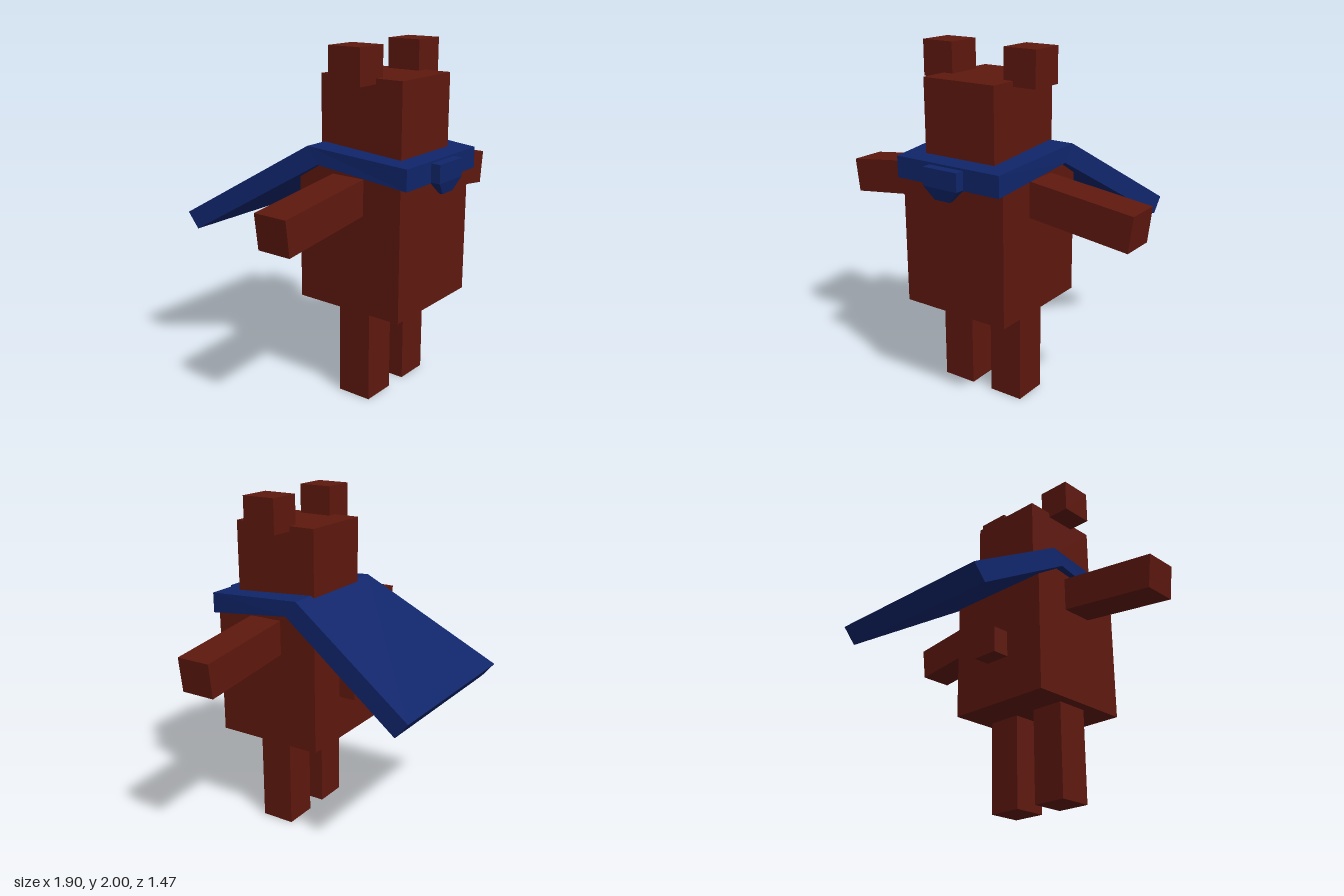
import * as THREE from 'three';

const fur = new THREE.MeshStandardMaterial({ color: 0x5e180e, flatShading: true });
const cloth = new THREE.MeshStandardMaterial({ color: 0x10256a, flatShading: true });

// Box given by its min and max on each axis
function box(name, [x0, x1], [y0, y1], [z0, z1]) {
  const mesh = new THREE.Mesh(new THREE.BoxGeometry(x1 - x0, y1 - y0, z1 - z0), fur);
  mesh.position.set((x0 + x1) / 2, (y0 + y1) / 2, (z0 + z1) / 2);
  mesh.name = name;
  return mesh;
}

// Solid through four-cornered sections; corners run clockwise seen from the first end
function loft(name, sections) {
  const index = [];
  const quad = (a, b, c, d) => index.push(a, b, c, a, c, d);
  quad(3, 2, 1, 0);
  for (let i = 0; i < sections.length - 1; i++) {
    for (let k = 0; k < 4; k++) {
      const n = (k + 1) % 4;
      quad(i * 4 + k, i * 4 + n, i * 4 + 4 + n, i * 4 + 4 + k);
    }
  }
  const e = (sections.length - 1) * 4;
  quad(e, e + 1, e + 2, e + 3);
  const indexed = new THREE.BufferGeometry();
  indexed.setAttribute('position', new THREE.Float32BufferAttribute(sections.flat(2), 3));
  indexed.setIndex(index);
  const geometry = indexed.toNonIndexed();
  geometry.computeVertexNormals();
  const mesh = new THREE.Mesh(geometry, cloth);
  mesh.name = name;
  return mesh;
}

export function createModel() {
  const model = new THREE.Group();
  model.name = 'capedBear';

  // Body, head and tail
  model.add(
    box('body', [-0.335, 0.335], [0.555, 1.375], [-0.03, 0.64]),
    box('head', [-0.23, 0.23], [1.375, 1.83], [0.04, 0.57]),
    box('tail', [-0.08, 0.08], [0.82, 0.975], [-0.135, -0.03])
  );

  // Paired ears, legs and drooping arms
  for (const [side, s] of [['left', 1], ['right', -1]]) {
    const span = (a, b) => (s > 0 ? [a, b] : [-b, -a]);
    model.add(
      box(side + 'Ear', span(0.17, 0.37), [1.8, 2], [0.2, 0.405]),
      box(side + 'Leg', span(0.067, 0.272), [0, 0.555], [0.2, 0.405])
    );
    const arm = box(side + 'Arm', [-0.325, 0.325], [-0.1, 0.1], [0.2, 0.405]);
    arm.position.x = s * 0.615;
    arm.position.y = 1.179;
    arm.rotation.z = -s * 0.122;
    model.add(arm);
  }

  // Cape: half width, top [y, z], underside [y, z], from front to back
  const capeSections = [
    [0.34, [1.41, 0.68], [1.29, 0.68]],
    [0.38, [1.455, 0.06], [1.36, 0.13]],
    [0.54, [0.975, -0.735], [0.885, -0.66]]
  ];
  model.add(loft('cape', capeSections.map(([w, t, u]) =>
    [[-w, ...t], [w, ...t], [w, ...u], [-w, ...u]])));

  // Clasp: y, half width, back z, front z, from top to tip
  const claspSections = [
    [1.398, 0.112, 0.67, 0.735],
    [1.295, 0.112, 0.675, 0.735],
    [1.225, 0.05, 0.695, 0.717]
  ];
  model.add(loft('clasp', claspSections.map(([y, w, b, f]) =>
    [[-w, y, b], [w, y, b], [w, y, f], [-w, y, f]])));

  return model;
}
